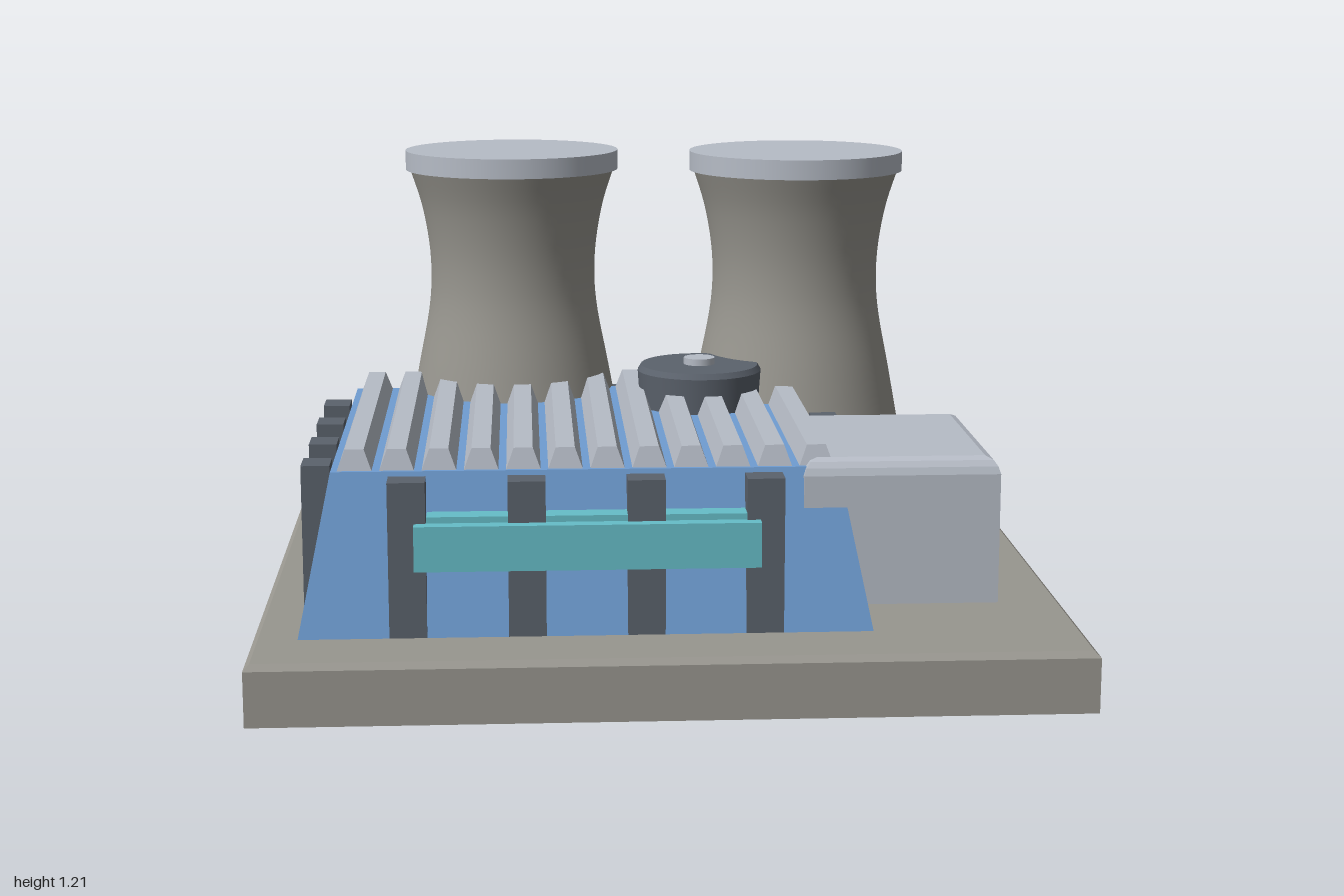
import * as THREE from 'three';

const mat = (name, color, side = THREE.FrontSide) => {
  const m = new THREE.MeshStandardMaterial({ color, side });
  m.name = name;
  return m;
};

export function createModel() {
  const concrete = mat('concrete', 0x98968f, THREE.DoubleSide);
  const metal = mat('light metal', 0xb6bcc6);
  const blue = mat('blue wall', 0x6f9dd2);
  const dark = mat('dark steel', 0x5b626c);
  const glass = mat('teal glass', 0x66bdc8);

  const model = new THREE.Group();
  model.name = 'powerPlant';

  const add = (name, geometry, material, x = 0, y = 0, z = 0, parent = model) => {
    const mesh = new THREE.Mesh(geometry, material);
    mesh.name = name;
    mesh.position.set(x, y, z);
    parent.add(mesh);
    return mesh;
  };
  const group = (name) => {
    const g = new THREE.Group();
    g.name = name;
    model.add(g);
    return g;
  };

  // Box between two corners whose top is drawn in by insetX and insetZ
  const block = (name, material, [x0, x1], [y0, y1], [z0, z1], insetX = 0, insetZ = insetX, parent = model) => {
    const w = x1 - x0, h = y1 - y0, d = z1 - z0;
    const geo = new THREE.BoxGeometry(w, h, d);
    const p = geo.attributes.position;
    for (let i = 0; i < p.count; i++) {
      if (p.getY(i) > 0) {
        p.setX(i, p.getX(i) * (1 - 2 * insetX / w));
        p.setZ(i, p.getZ(i) * (1 - 2 * insetZ / d));
      }
    }
    geo.computeVertexNormals();
    return add(name, geo, material, (x0 + x1) / 2, (y0 + y1) / 2, (z0 + z1) / 2, parent);
  };

  // Ground slab with a chamfered top edge
  block('slab', concrete, [-1, 1], [0, 0.135], [-1, 1]);
  block('slabEdge', concrete, [-1, 1], [0.135, 0.15], [-1, 1], 0.015);

  // Hall with sloping walls
  block('hall', blue, [-0.89, 0.49], [0.15, 0.54], [-0.41, 0.8], 0.08);

  // Roof ribs
  const ribs = group('roofRibs');
  for (let i = 0; i < 12; i++) {
    const x = -0.753 + i * 0.101;
    block('rib', metal, [x - 0.042, x + 0.042], [0.538, 0.59], [-0.325, 0.71], 0.019, 0.012, ribs);
  }

  // Four pillars on each wall
  const pillars = group('pillars');
  for (let i = 0; i < 4; i++) {
    const x = -0.627 + i * 0.285, z = -0.18 + i * 0.247;
    for (const z0 of [-0.41, 0.73])
      block('pillar', dark, [x - 0.045, x + 0.045], [0.15, 0.53], [z0, z0 + 0.07], 0, 0, pillars);
    for (const x0 of [-0.89, 0.42])
      block('pillar', dark, [x0, x0 + 0.07], [0.15, 0.53], [z - 0.045, z + 0.045], 0, 0, pillars);
  }

  // Front window band
  block('windowBand', glass, [-0.61, 0.215], [0.32, 0.43], [0.79, 0.83]);
  block('windowBack', glass, [-0.58, 0.195], [0.32, 0.445], [0.7, 0.795]);

  // Side annex with a softened roof edge
  const annex = group('annex');
  const steps = [[0.2, 0], [0.52, 0], [0.538, 0.006], [0.552, 0.016], [0.56, 0.034]];
  for (let i = 0; i < steps.length - 1; i++) {
    const [y0, a] = steps[i], [y1, b] = steps[i + 1];
    block('annexLayer', metal, [0.325 + a, 0.802 - a], [y0, y1], [0.175 + a, 0.74 - a], b - a, b - a, annex);
  }

  // Round roof vent
  add('ventDrum', new THREE.CylinderGeometry(0.167, 0.16, 0.1, 32), dark, 0.13, 0.585, -0.07);
  add('ventRim', new THREE.CylinderGeometry(0.158, 0.167, 0.015, 32), dark, 0.13, 0.6425, -0.07);
  add('ventHub', new THREE.CylinderGeometry(0.042, 0.042, 0.02, 16), metal, 0.13, 0.658, -0.07);

  // Cooling towers
  const curve = new THREE.SplineCurve([
    [0.333, 0.25], [0.303, 0.4], [0.266, 0.6], [0.237, 0.75], [0.228, 0.85],
    [0.233, 0.95], [0.253, 1.06], [0.285, 1.16],
  ].map(([r, y]) => new THREE.Vector2(r, y)));
  const shell = new THREE.LatheGeometry(curve.getPoints(28), 48);
  const cap = new THREE.CylinderGeometry(0.294, 0.294, 0.053, 48);
  const leg = new THREE.CylinderGeometry(0.014, 0.018, 0.14, 10);
  for (const [name, x, z] of [['rightTower', -0.372, -0.372], ['leftTower', 0.412, -0.305]]) {
    const tower = group(name);
    tower.position.set(x, 0, z);
    add('towerShell', shell, concrete, 0, 0, 0, tower);
    add('towerCap', cap, metal, 0, 1.1785, 0, tower);
    for (let i = 0; i < 12; i++) {
      const a = i * Math.PI / 6;
      add('towerLeg', leg, metal, Math.sin(a) * 0.32, 0.22, Math.cos(a) * 0.32, tower);
    }
  }
  return model;
}
